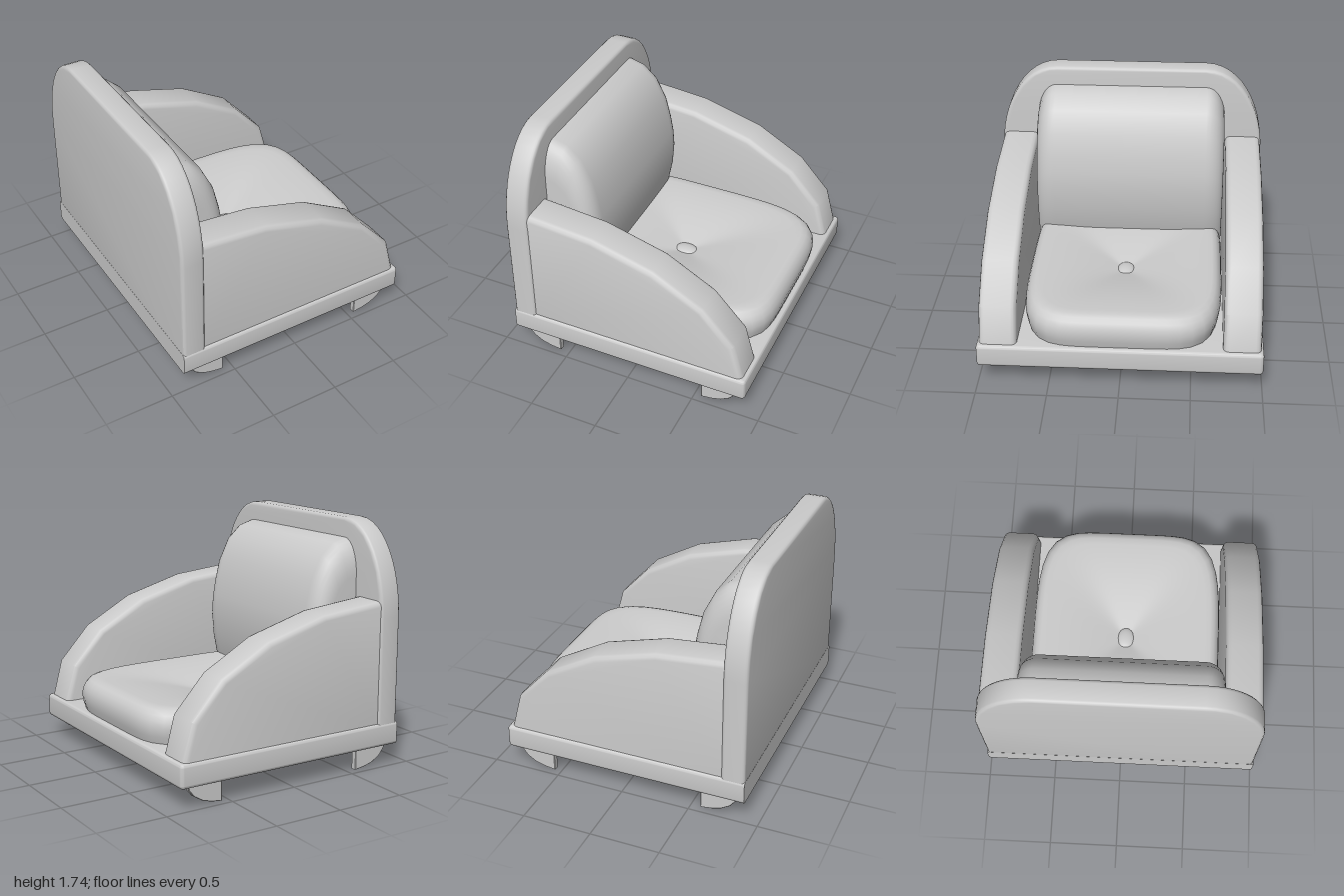
import * as THREE from 'three';
import { toCreasedNormals } from 'three/addons/utils/BufferGeometryUtils.js';
import { RoundedBoxGeometry } from 'three/addons/geometries/RoundedBoxGeometry.js';

const material = new THREE.MeshStandardMaterial({ color: 0xcccccc });

function add(group, name, geometry, x = 0, y = 0, z = 0) {
  const mesh = new THREE.Mesh(geometry, material);
  mesh.name = name;
  mesh.position.set(x, y, z);
  group.add(mesh);
  return mesh;
}

// Extrusion centred on its thickness, with rounded edges kept inside the outline
function slab(shape, thickness, bevel, segments = 3) {
  const g = new THREE.ExtrudeGeometry(shape, {
    depth: thickness - 2 * bevel, bevelThickness: bevel, bevelSize: bevel,
    bevelOffset: -bevel, bevelSegments: segments, curveSegments: 12,
  });
  g.translate(0, 0, -thickness / 2 + bevel);
  return toCreasedNormals(g, 0.6);
}

const polygon = (pts) => new THREE.Shape(pts.map(([x, y]) => new THREE.Vector2(x, y)));

// Smooth skin over closed rings holding equal numbers of points
function loft(rings) {
  const n = rings[0].length, index = [];
  for (let i = 0; i < rings.length - 1; i++) {
    for (let j = 0; j < n; j++) {
      const a = i * n + j, b = i * n + (j + 1) % n;
      index.push(a, b, a + n, b, b + n, a + n);
    }
  }
  const g = new THREE.BufferGeometry();
  g.setAttribute('position', new THREE.Float32BufferAttribute(rings.flat(2), 3));
  g.setIndex(index);
  return toCreasedNormals(g, 0.8);
}

// Tufted seat: rounded-square rings dipping toward the centre, then a rolled edge
function seatCushion() {
  const levels = [];
  for (let i = 0; i <= 16; i++) {
    const s = 0.9 * i / 16;
    levels.push([s, 0.43 + 0.125 * Math.sin(s / 0.9 * Math.PI / 2)]);
  }
  levels.push([0.94, 0.543], [0.97, 0.515], [0.99, 0.48], [1, 0.43], [0.99, 0.37], [0.97, 0.31]);
  return loft(levels.map(([s, y]) => {
    const ring = [];
    for (let j = 0; j < 64; j++) {
      const t = j / 64 * Math.PI * 2, c = Math.cos(t), d = Math.sin(t);
      const r = 1 / Math.pow(c ** 6 + d ** 6, 1 / 6);
      const u = c * r, v = d * r;
      const x = 0.01 + s * u * (u > 0 ? 0.865 : 0.76);
      const taper = 1 - 0.1 * Math.max(0, u) ** 3;
      ring.push([x, y, 0.71 * s * v * taper]);
    }
    return ring;
  }));
}

// Back cushion: one side profile swept across, easing in at both ends
function backCushion() {
  const profile = [
    [-0.75, 0.4], [-0.47, 0.4], [-0.42, 0.55], [-0.385, 0.72], [-0.37, 0.9], [-0.378, 1.03],
    [-0.4, 1.16], [-0.44, 1.32], [-0.52, 1.48], [-0.62, 1.57], [-0.73, 1.6], [-0.78, 1.6],
  ];
  const ring = (z, q) => profile.map(([x, y]) => [
    x - 0.1 * q * Math.max(0, x + 0.75) / 0.38,
    y - 0.25 * q * (y - 0.4) / 1.2,
    z,
  ]);
  const rings = [];
  for (let i = 0; i <= 8; i++) {
    const a = i / 8 * Math.PI / 2;
    rings.push(ring(0.57 + 0.14 * Math.sin(a), 1 - Math.cos(a)));
  }
  const cap = (z) => profile.map(() => [-0.62, 0.9, z]);
  const mirrored = rings.map((r) => r.map(([x, y, z]) => [x, y, -z])).reverse();
  return loft([cap(-0.71), ...mirrored, ...rings, cap(0.71)]);
}

export function createModel() {
  const chair = new THREE.Group();
  chair.name = 'armchair';

  // Base platform, rounded everywhere but the flat rear face
  const base = new RoundedBoxGeometry(1.85, 0.17, 2, 3, 0.025);
  base.translate(-0.035, 0.235, 0);
  const pos = base.attributes.position;
  for (let i = 0; i < pos.count; i++) pos.setX(i, Math.max(-0.9, pos.getX(i)));
  add(chair, 'base', toCreasedNormals(base, 0.6));

  // Back panel with rounded shoulders
  const back = new THREE.Shape();
  back.moveTo(-0.995, 0.2);
  back.lineTo(0.995, 0.2);
  back.lineTo(0.995, 1.08);
  back.bezierCurveTo(0.995, 1.42, 0.82, 1.74, 0.56, 1.74);
  back.lineTo(-0.56, 1.74);
  back.bezierCurveTo(-0.82, 1.74, -0.995, 1.42, -0.995, 1.08);
  add(chair, 'backPanel', slab(back, 0.17, 0.025), -0.814).rotation.y = Math.PI / 2;

  // Arms sloping down to the front
  const arm = slab(polygon([
    [-0.79, 0.25], [0.877, 0.25], [0.86, 0.32], [0.79, 0.58], [0.56, 0.83],
    [0.2, 1.03], [-0.25, 1.155], [-0.73, 1.2], [-0.79, 1.205],
  ]), 0.265, 0.04);

  // Thin quarter-round legs, straight on the inner side
  const leg = slab(polygon([
    [0.55, 0.2], [0.55, 0], [0.63, 0.01], [0.7, 0.03], [0.765, 0.07], [0.805, 0.12], [0.815, 0.2],
  ]), 0.045, 0.004, 1);

  for (const side of [1, -1]) {
    const label = side > 0 ? 'Near' : 'Far';
    add(chair, 'arm' + label, arm, 0, 0, side * 0.85);
    add(chair, 'frontLeg' + label, leg, 0, 0, side * 0.928);
    add(chair, 'rearLeg' + label, leg, -0.02, 0, side * 0.928).rotation.y = Math.PI;
  }

  // Upholstery
  add(chair, 'seatCushion', seatCushion());
  add(chair, 'backCushion', backCushion());
  add(chair, 'seatButton', new THREE.SphereGeometry(1, 24, 12), 0.01, 0.435, 0).scale.set(0.09, 0.03, 0.065);

  return chair;
}
